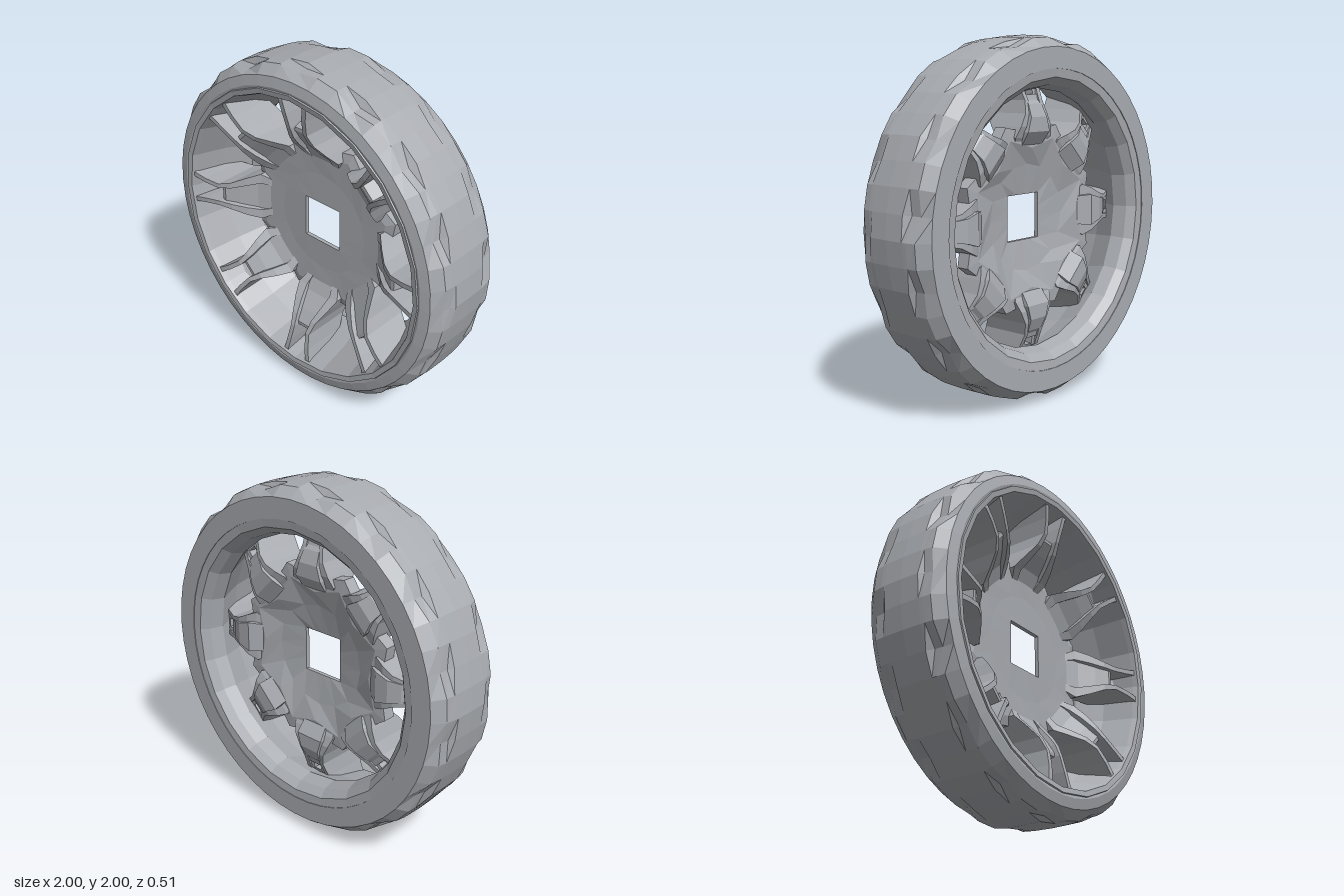
import * as THREE from 'three';

const grey = new THREE.MeshStandardMaterial({ color: 0xa8abb0 });
grey.name = 'grey';
grey.flatShading = true;
grey.side = THREE.DoubleSide;

// Skins a list of closed loops of equal length; optionally joins last to first
function skin(name, loops, closed = false) {
  const n = loops[0].length, pos = [], index = [];
  loops.forEach(l => l.forEach(p => pos.push(...p)));
  const rows = closed ? loops.length : loops.length - 1;
  for (let i = 0; i < rows; i++) {
    const a = i * n, b = ((i + 1) % loops.length) * n;
    for (let j = 0; j < n; j++) {
      const k = (j + 1) % n;
      index.push(a + j, a + k, b + k, a + j, b + k, b + j);
    }
  }
  if (!closed) {
    const e = (loops.length - 1) * n;
    for (let j = 1; j < n - 1; j++) index.push(0, j + 1, j, e, e + j, e + j + 1);
  }
  let g = new THREE.BufferGeometry();
  g.setAttribute('position', new THREE.Float32BufferAttribute(pos, 3));
  g.setIndex(index);
  g = g.toNonIndexed();
  g.computeVertexNormals();
  const m = new THREE.Mesh(g, grey);
  m.name = name;
  return m;
}

// Ring built from a profile of [radius, z] that may change with the angle
function ring(name, count, profile) {
  const loops = [];
  for (let i = 0; i < count; i++) {
    const a = (i / count) * Math.PI * 2;
    loops.push(profile(i, a).map(([r, z]) => [Math.cos(a) * r, Math.sin(a) * r, z]));
  }
  return skin(name, loops, true);
}

// Bar running along y; stations are [y, xInner, xOuter, zFront, zBack]
function bar(name, stations, side = 1) {
  const loops = stations.map(([y, x0, x1, f, b]) => {
    const l = [[x0 * side, y, b], [x1 * side, y, b], [x1 * side, y, f], [x0 * side, y, f]];
    return side > 0 ? l.reverse() : l;
  });
  return skin(name, loops);
}

function createSpoke() {
  const s = new THREE.Group();
  s.name = 'spoke';
  // Paired ridges, pinched in the middle and flared at both ends
  for (const side of [-1, 1]) {
    s.add(bar('spokeRidge', [
      [0.38, 0.07, 0.11, 0.0, -0.05],
      [0.45, 0.09, 0.15, 0.05, -0.09],
      [0.51, 0.075, 0.125, 0.11, -0.11],
      [0.58, 0.055, 0.09, 0.17, -0.11],
      [0.65, 0.045, 0.072, 0.205, -0.09],
      [0.74, 0.055, 0.083, 0.225, -0.05],
      [0.81, 0.068, 0.097, 0.235, -0.01],
      [0.845, 0.075, 0.125, 0.235, 0.02],
    ], side));
  }
  // Recessed web between the ridges, ending in a raised ledge
  s.add(bar('spokeWeb', [
    [0.38, -0.08, 0.08, 0.0, -0.06],
    [0.48, -0.09, 0.09, 0.05, -0.13],
    [0.56, -0.065, 0.065, 0.12, -0.13],
    [0.63, -0.055, 0.055, 0.17, -0.1],
    [0.65, -0.055, 0.055, 0.17, -0.08],
    [0.68, -0.055, 0.055, 0.07, -0.07],
  ]));
  // Pocket floor, leaving a small bolt hole beside the web
  s.add(bar('pocketFloor', [
    [0.725, -0.06, 0.06, 0.05, -0.05],
    [0.78, -0.07, 0.07, 0.09, -0.02],
    [0.84, -0.085, 0.085, 0.14, 0.0],
  ]));
  for (const side of [-1, 1]) {
    s.add(bar('boltHoleSide', [
      [0.67, 0.028, 0.06, 0.07, -0.06],
      [0.735, 0.028, 0.065, 0.05, -0.05],
    ], side));
  }
  return s;
}

export function createModel() {
  const model = new THREE.Group();
  model.name = 'wheel';
  const wheel = new THREE.Group();
  wheel.name = 'wheelBody';
  wheel.position.y = 1;
  model.add(wheel);

  let seed = 7;
  const rand = () => (seed = (seed * 16807) % 2147483647) / 2147483647;

  // Tyre with shallow, uneven notches cut in the shoulders
  wheel.add(ring('tyre', 48, i => {
    const front = i % 3 === 0 ? 0.015 + 0.025 * rand() : 0;
    const back = i % 3 === 1 ? 0.015 + 0.025 * rand() : 0;
    const j = i % 4 === 0 ? 0 : 0.01 * rand();
    return [
      [0.85, 0.243], [0.88, 0.25], [0.935, 0.237], [0.985 - front, 0.18],
      [0.995 - front - j, 0.135], [0.997 - j, 0.11], [1.0 - j, 0],
      [0.997 - j, -0.11], [0.995 - back - j, -0.135], [0.985 - back, -0.19],
      [0.935, -0.255], [0.82, -0.255], [0.82, -0.2], [0.86, 0],
    ];
  }));

  // Rim barrel narrowing towards the back, with a raised front lip
  wheel.add(ring('rimBarrel', 24, () => [
    [0.875, 0.235], [0.868, 0.255], [0.838, 0.25], [0.828, 0.22], [0.785, 0.04],
    [0.715, -0.12], [0.735, -0.2], [0.775, -0.245], [0.84, -0.253], [0.87, 0],
  ]));

  // Hub plate, pushed slightly forward at a squarish axle hole
  wheel.add(ring('hub', 16, (i, a) => {
    const hole = 0.128 / Math.max(Math.abs(Math.cos(a)), Math.abs(Math.sin(a)));
    const edge = i % 2 ? 0.55 : 0.47;
    return [
      [hole, 0.012], [0.31, 0.01], [edge - 0.06, 0.015], [edge, 0.0],
      [edge, -0.075], [edge - 0.08, -0.08], [0.3, -0.04], [hole, -0.012],
    ];
  }));

  // Eight spokes
  for (let i = 0; i < 8; i++) {
    const s = createSpoke();
    s.rotation.z = (i * Math.PI) / 4;
    wheel.add(s);
  }
  return model;
}
